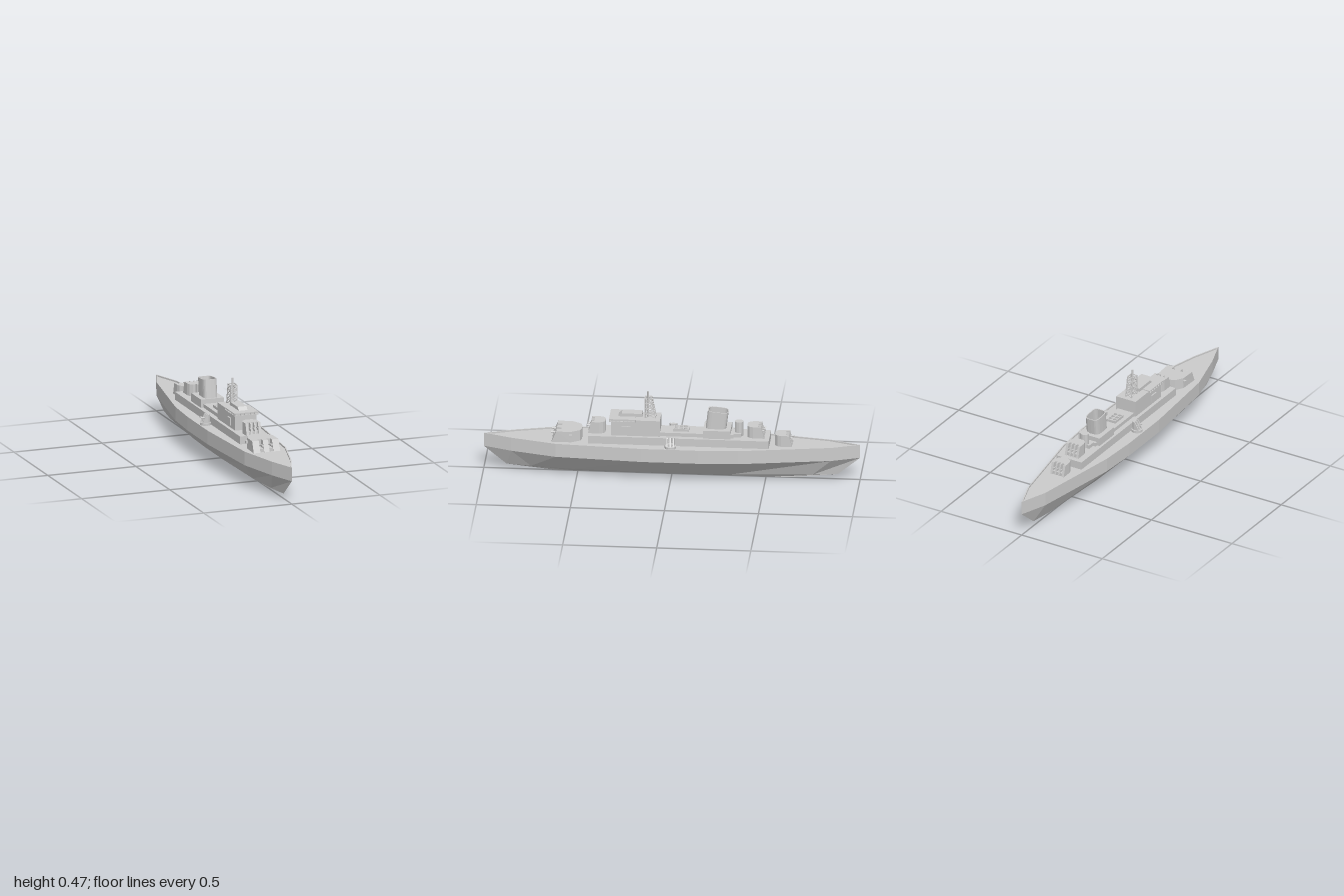
import * as THREE from 'three';

const mat = new THREE.MeshStandardMaterial({ color: 0xcccccc, flatShading: true, side: THREE.DoubleSide });

function add(parent, name, geo, x = 0, y = 0, z = 0) {
  const m = new THREE.Mesh(geo, mat);
  m.name = name;
  m.position.set(x, y, z);
  parent.add(m);
  return m;
}

// box given by half width, y range and z range
function block(parent, name, hw, y0, y1, z0, z1, x = 0) {
  return add(parent, name, new THREE.BoxGeometry(hw * 2, y1 - y0, Math.abs(z1 - z0)), x, (y0 + y1) / 2, (z0 + z1) / 2);
}

// square bar between two points
function strut(parent, name, a, b, t) {
  const m = add(parent, name, new THREE.BoxGeometry(t, t, a.distanceTo(b)));
  m.position.copy(a).add(b).multiplyScalar(0.5);
  m.lookAt(b);
  return m;
}

// extrude a plan outline of [x, z] points upwards
function planExtrude(pts, h, holes = []) {
  const v = (p) => p.map(([x, z]) => new THREE.Vector2(x, -z));
  const s = new THREE.Shape(v(pts));
  holes.forEach((p) => s.holes.push(new THREE.Path(v(p))));
  return new THREE.ExtrudeGeometry(s, { depth: h, bevelEnabled: false }).rotateX(-Math.PI / 2);
}

// hull and recessed deck lofted through matching loops
function hull() {
  const half = [[0, 1], [0.055, 0.85], [0.118, 0.61], [0.15, 0.15], [0.15, -0.15], [0.138, -0.36], [0.055, -0.85], [0, -1]];
  const loop = [...half, ...half.slice(1, -1).reverse().map(([x, z]) => [-x, z])];
  // rows: x scale, y, z scale
  const rows = [[0.96, 0.192, 0.985], [0.96, 0.2, 0.985], [1, 0.2, 1], [1, 0.125, 1], [0.365, 0.027, 0.88], [0, 0, 0.62]];
  const n = loop.length, pos = [], idx = [];
  rows.forEach(([sx, y, sz]) => loop.forEach(([x, z]) => pos.push(x * sx, y, z * sz)));
  for (let r = 0; r < rows.length - 1; r++) {
    for (let i = 0; i < n; i++) {
      const j = (i + 1) % n, a = r * n + i, b = r * n + j, c = a + n, d = b + n;
      idx.push(c, d, b, c, b, a);
    }
  }
  for (let i = 1; i < n - 1; i++) idx.push(0, i, i + 1);
  const g = new THREE.BufferGeometry();
  g.setAttribute('position', new THREE.Float32BufferAttribute(pos, 3));
  g.setIndex(idx);
  const flat = g.toNonIndexed();
  flat.computeVertexNormals();
  return flat;
}

// gun house facing +z: slotted sloping front, shaped back, short barrels
function turret(name, { front, w, side, h, guns, slot, slope, depth }) {
  const t = new THREE.Group();
  t.name = name;
  const pts = [];
  guns.forEach((x) => pts.push([x - slot, front], [x - slot, front - depth], [x + slot, front - depth], [x + slot, front]));
  const outline = [[-w, front], ...pts, [w, front], ...side, ...side.slice().reverse().map(([x, z]) => [-x, z])];
  const g = planExtrude(outline, h);
  const p = g.attributes.position;
  for (let i = 0; i < p.count; i++) {
    if (p.getY(i) > h / 2 && p.getZ(i) > front - 0.001) p.setZ(i, front - slope);
  }
  g.computeVertexNormals();
  add(t, 'gunHouse', g);
  block(t, 'frontSill', w * 0.95, 0, h * 0.3, front - depth, front - slope * 0.35);
  guns.forEach((x) => {
    const b = add(t, 'barrel', new THREE.CylinderGeometry(slot * 0.5, slot * 0.5, depth + 0.012, 8), x, h * 0.58, front - depth / 2);
    b.rotation.x = Math.PI / 2 - 0.15;
  });
  return t;
}

function place(parent, t, x, y, z, ry = 0) {
  t.position.set(x, y, z);
  t.rotation.y = ry;
  parent.add(t);
}

export function createModel() {
  const ship = new THREE.Group();
  ship.name = 'warship';
  add(ship, 'hull', hull());

  // stepped deckhouse
  block(ship, 'deckhouse', 0.078, 0.19, 0.235, 0.44, -0.52);
  block(ship, 'upperDeckhouse', 0.05, 0.235, 0.255, 0.06, -0.33);

  // bridge with side panels and a row of windows
  const bridge = new THREE.Group();
  bridge.name = 'bridge';
  ship.add(bridge);
  block(bridge, 'bridgeTower', 0.06, 0.235, 0.315, 0.06, 0.32);
  block(bridge, 'bridgeRoof', 0.06, 0.315, 0.324, 0.06, 0.2);
  block(bridge, 'windowSill', 0.068, 0.314, 0.318, 0.19, 0.33);
  block(bridge, 'windowCore', 0.06, 0.318, 0.327, 0.195, 0.322);
  block(bridge, 'wheelhouseRoof', 0.068, 0.327, 0.331, 0.19, 0.33);
  for (let i = 0; i <= 7; i++) {
    block(bridge, 'windowPost', 0.002, 0.316, 0.329, 0.325, 0.33, -0.066 + i * 0.132 / 7);
  }
  for (const s of [-1, 1]) {
    for (let i = 0; i < 7; i++) block(bridge, 'sideWindowPost', 0.002, 0.316, 0.329, 0.19 + i * 0.02, 0.194 + i * 0.02, s * 0.066);
    block(bridge, 'sidePanel', 0.004, 0.25, 0.29, 0.215, 0.262, s * 0.063);
  }
  const roofHouse = planExtrude([[-0.025, 0.285], [0.025, 0.285], [0.025, 0.157], [-0.025, 0.157]], 0.018);
  const rp = roofHouse.attributes.position;
  for (let i = 0; i < rp.count; i++) if (rp.getY(i) > 0.01 && rp.getZ(i) > 0.2) rp.setZ(i, 0.265);
  roofHouse.computeVertexNormals();
  add(bridge, 'roofHouse', roofHouse, 0, 0.33, 0);

  // lattice mast with pole
  const mast = new THREE.Group();
  mast.name = 'mast';
  ship.add(mast);
  const corner = (k, level) => {
    const t = level / 4, sx = [1, 1, -1, -1][k], aft = k === 1 || k === 2;
    return new THREE.Vector3(sx * 0.018, 0.322 + t * 0.112, aft ? 0.085 + t * 0.022 : 0.143);
  };
  for (let k = 0; k < 4; k++) {
    const n = (k + 1) % 4;
    strut(mast, 'mastLeg', corner(k, 0), corner(k, 4), 0.0045);
    for (let l = 0; l < 4; l++) {
      strut(mast, 'mastBrace', corner(k, l), corner(n, l + 1), 0.003);
      strut(mast, 'mastBrace', corner(n, l), corner(k, l + 1), 0.003);
      strut(mast, 'mastRung', corner(k, l + 1), corner(n, l + 1), 0.004);
    }
  }
  add(mast, 'mastPole', new THREE.CylinderGeometry(0.005, 0.005, 0.15, 8), 0, 0.395, 0.127);

  // skylight frame with open panes
  const rect = (x, z, a, b) => [[x - a, z + b], [x + a, z + b], [x + a, z - b], [x - a, z - b]];
  const panes = [];
  for (const x of [-0.013, 0.013]) for (const z of [-0.025, 0, 0.025]) panes.push(rect(x, z, 0.009, 0.009));
  add(ship, 'skylight', planExtrude(rect(0, 0, 0.027, 0.042), 0.014, panes), 0, 0.255, -0.05);

  // hollow raked funnel on its base
  block(ship, 'funnelBase', 0.065, 0.235, 0.28, -0.17, -0.315);
  const oval = (a, b) => Array.from({ length: 24 }, (_, i) => {
    const u = (i / 24) * Math.PI * 2, c = Math.cos(u), s = Math.sin(u);
    return [Math.sign(c) * Math.sqrt(Math.abs(c)) * a, -Math.sign(s) * Math.sqrt(Math.abs(s)) * b];
  });
  const funnel = planExtrude(oval(0.04, 0.055), 0.098, [oval(0.035, 0.05)]);
  const fp = funnel.attributes.position;
  for (let i = 0; i < fp.count; i++) {
    const y = fp.getY(i), z = fp.getZ(i);
    fp.setZ(i, z - y * 0.12);
    if (y > 0.05) fp.setY(i, y + z * 0.09);
  }
  funnel.computeVertexNormals();
  add(ship, 'funnel', funnel, 0, 0.277, -0.235);

  // aft ventilator
  block(ship, 'ventBase', 0.035, 0.235, 0.255, -0.31, -0.37);
  add(ship, 'ventilator', new THREE.CylinderGeometry(0.023, 0.023, 0.08, 12), 0, 0.275, -0.357);

  // large forward turret with rangefinder ears
  const big = turret('forwardTurret', {
    front: 0.08, w: 0.075, side: [[0.072, -0.025], [0.045, -0.07], [0.02, -0.078]],
    h: 0.06, guns: [-0.026, 0.026], slot: 0.011, slope: 0.025, depth: 0.05,
  });
  for (const s of [-1, 1]) block(big, 'rangefinderEar', 0.006, 0.03, 0.045, -0.03, -0.015, s * 0.077);
  place(ship, big, 0, 0.192, 0.555);

  // triple turrets fore and aft
  const triple = (name) => turret(name, {
    front: 0.047, w: 0.042, side: [[0.042, -0.012], [0.036, -0.032], [0.02, -0.045]],
    h: 0.064, guns: [-0.022, 0, 0.022], slot: 0.0065, slope: 0.018, depth: 0.034,
  });
  place(ship, triple('raisedForwardTurret'), 0, 0.235, 0.397);
  place(ship, triple('raisedAftTurret'), 0, 0.235, -0.447, Math.PI);
  place(ship, triple('aftTurret'), 0, 0.19, -0.595, Math.PI);

  // twin side mounts facing outboard
  for (const s of [-1, 1]) {
    add(ship, 'sideMountBase', new THREE.CylinderGeometry(0.03, 0.03, 0.014, 16), s * 0.105, 0.198, 0);
    place(ship, turret('sideTurret', {
      front: 0.024, w: 0.02, side: [[0.02, -0.008], [0.012, -0.02]],
      h: 0.044, guns: [-0.009, 0.009], slot: 0.005, slope: 0.024, depth: 0.03,
    }), s * 0.104, 0.204, 0, s * Math.PI / 2);
  }
  return ship;
}
